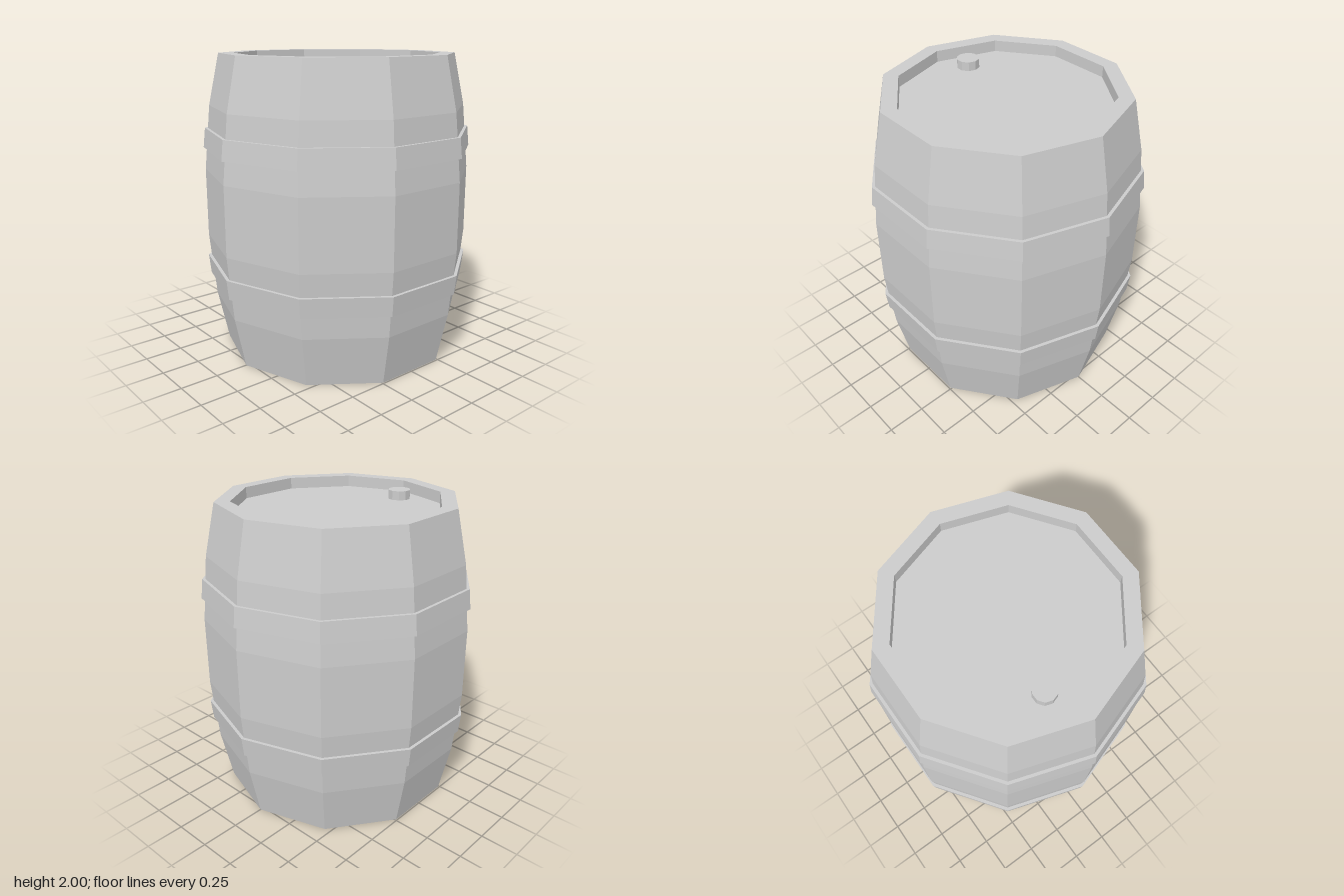
import * as THREE from 'three';

const SIDES = 10;

export function createModel() {
  const barrel = new THREE.Group();
  barrel.name = 'barrel';
  const material = new THREE.MeshStandardMaterial({ color: 0xcccccc, flatShading: true });

  const add = (name, geometry) => {
    const mesh = new THREE.Mesh(geometry, material);
    mesh.name = name;
    barrel.add(mesh);
    return mesh;
  };

  // Ten-sided solid of revolution with corners on the x axis
  const turned = (profile) => new THREE.LatheGeometry(
    profile.map(([r, y]) => new THREE.Vector2(r, y)), SIDES, Math.PI / 2);

  // Bulging staves, with a rim around the recessed head at each end
  const lower = [[0, 0.075], [0.68, 0.075], [0.68, 0], [0.78, 0], [0.853, 0.34], [0.895, 0.77]];
  const upper = lower.map(([r, y]) => [r, 2 - y]).reverse();
  add('body', turned([...lower, ...upper]));

  // Hoops, tapered to follow the staves
  const hoop = [[0.84, 0.49], [0.888, 0.49], [0.902, 0.62], [0.84, 0.62], [0.84, 0.49]];
  add('lowerHoop', turned(hoop));
  add('upperHoop', turned(hoop.map(([r, y]) => [r, 2 - y]).reverse()));

  // Bung in the top head
  const bung = add('bung', new THREE.CylinderGeometry(0.075, 0.075, 0.08, SIDES, 1, false, Math.PI / 2));
  bung.position.set(-0.49, 1.945, -0.11);

  return barrel;
}
